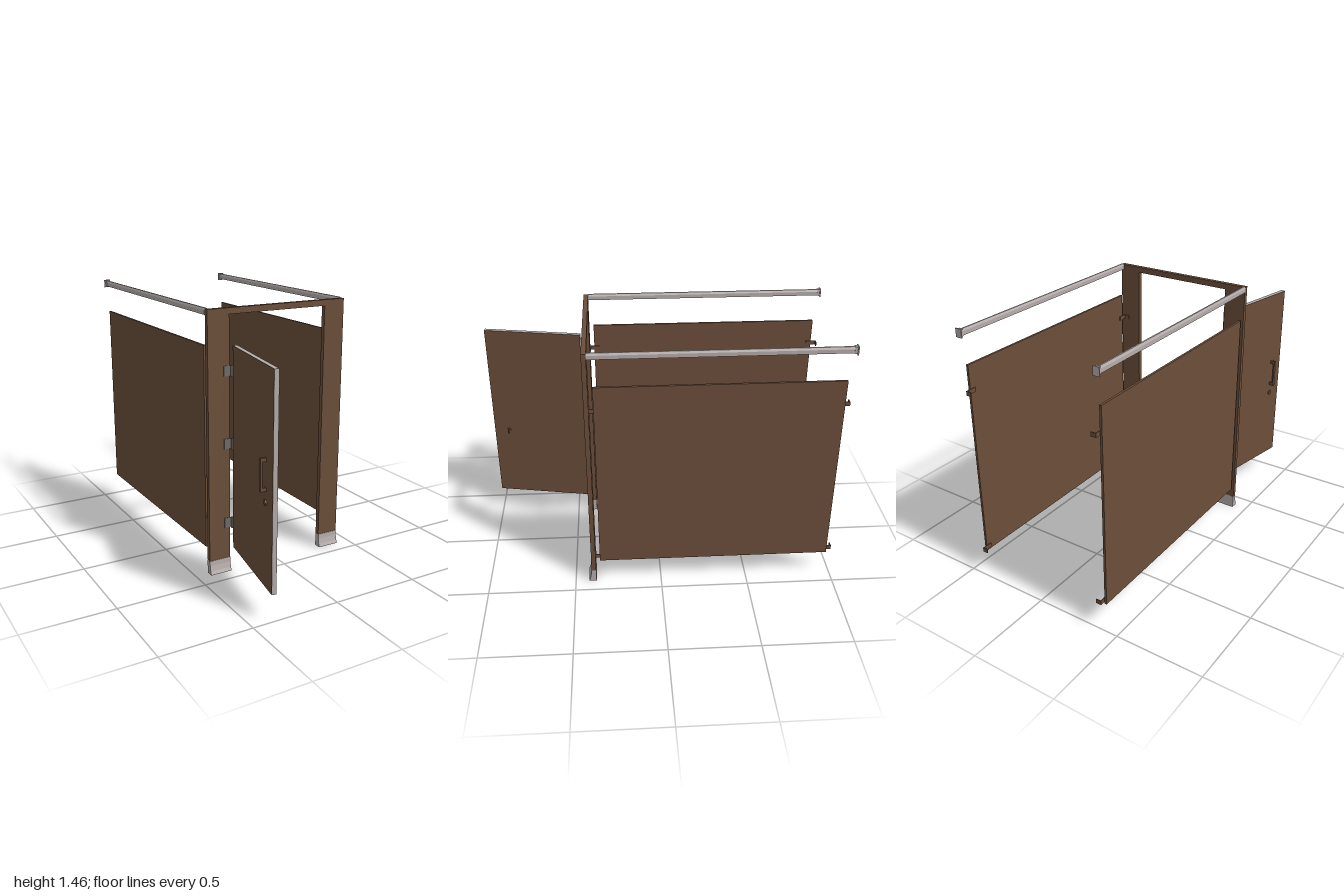
import * as THREE from 'three';

const mat = (name, color, side = THREE.FrontSide) => {
  const m = new THREE.MeshStandardMaterial({ color, side });
  m.name = name;
  return m;
};

export function createModel() {
  const brown = mat('brown laminate', 0x6b4e3a);
  const grey = mat('light grey metal', 0xb5adab);
  const steel = mat('dark hinge metal', 0x6f6a66);
  const root = new THREE.Group();
  root.name = 'partitionStall';

  const add = (parent, name, geometry, material) => {
    const mesh = new THREE.Mesh(geometry, material);
    mesh.name = name;
    parent.add(mesh);
    return mesh;
  };
  // box given by its limits on each axis
  const box = (parent, name, material, [x0, x1], [y0, y1], [z0, z1]) => {
    const mesh = add(parent, name, new THREE.BoxGeometry(Math.abs(x1 - x0), y1 - y0, z1 - z0), material);
    mesh.position.set((x0 + x1) / 2, (y0 + y1) / 2, (z0 + z1) / 2);
    return mesh;
  };
  const extrude = (points, depth) => new THREE.ExtrudeGeometry(
    new THREE.Shape(points.map(p => new THREE.Vector2(...p))), { depth, bevelEnabled: false });

  // front frame header between the pilasters
  box(root, 'header', brown, [-0.296, 0.296], [1.422, 1.455], [0.38, 0.406]);

  for (const s of [-1, 1]) {
    const side = new THREE.Group();
    side.name = s > 0 ? 'leftSide' : 'rightSide';
    root.add(side);
    const bx = (name, m, [a, b], y, z) => box(side, name, m, [s * a, s * b], y, z);

    bx('pilaster', brown, [0.296, 0.422], [0.075, 1.455], [0.38, 0.406]);

    // flared foot cover; profile is drawn in (z, y) and swept across x
    const shoe = add(side, 'shoe', extrude(
      [[0.379, 0], [0.422, 0], [0.415, 0.02], [0.409, 0.05], [0.408, 0.077], [0.379, 0.077]], 0.126), grey);
    shoe.rotation.y = -Math.PI / 2;
    shoe.position.x = s > 0 ? 0.422 : -0.296;

    bx('panel', brown, [0.405, 0.418], [0.145, 1.265], [-0.97, 0.355]);

    // head rail with a narrow ridge along its top
    const rail = add(side, 'headRail', extrude(
      [[-0.01, 0], [0.01, 0], [0.01, 0.022], [0.004, 0.034], [-0.004, 0.034], [-0.01, 0.022]], 1.375), grey);
    rail.position.set(s * 0.415, 1.425, -0.995);

    // wall bracket around the end of the rail
    bx('railFlange', grey, [0.397, 0.434], [1.417, 1.464], [-1, -0.994]);
    bx('railSocket', grey, [0.403, 0.427], [1.423, 1.461], [-0.994, -0.98]);

    // angle brackets holding the panel at both ends
    for (const y of [0.168, 1.122]) {
      const h = [y - 0.012, y + 0.012];
      for (const [z0, z1, f0, f1] of [[-1, -0.94, -1, -0.995], [0.325, 0.38, 0.375, 0.38]]) {
        bx('panelBracketLeaf', brown, [0.4, 0.405], h, [z0, z1]);
        bx('panelBracketFlange', brown, [0.374, 0.4], h, [f0, f1]);
      }
    }
  }

  // door standing open, pivoted at its hinge edge
  const door = new THREE.Group();
  door.name = 'door';
  door.position.set(-0.265, 0, 0.4345);
  door.rotation.y = -0.183;
  root.add(door);
  box(door, 'doorCore', grey, [-0.0245, -0.0005], [0.145, 1.265], [0, 0.575]);
  box(door, 'doorInnerFace', brown, [-0.001, 0], [0.145, 1.265], [0, 0.575]);
  box(door, 'doorOuterFace', brown, [-0.025, -0.024], [0.145, 1.265], [0, 0.575]);

  // pull handle
  box(door, 'handleBar', brown, [-0.056, -0.046], [0.65, 0.82], [0.477, 0.493]);
  for (const y of [0.66, 0.81])
    box(door, 'handlePost', brown, [-0.05, -0.025], [y - 0.009, y + 0.009], [0.478, 0.492]);

  // latch discs and thumb turn
  for (const [x, depth, r] of [[0.003, 0.006, 0.016], [-0.029, 0.008, 0.014]]) {
    const disc = add(door, 'latchDisc', new THREE.CylinderGeometry(r, r, depth, 20), brown);
    disc.rotation.z = Math.PI / 2;
    disc.position.set(x, 0.593, 0.485);
  }
  box(door, 'thumbTurn', brown, [0.006, 0.016], [0.578, 0.608], [0.482, 0.488]);

  // hinges between pilaster and door
  for (const y of [0.285, 0.735, 1.13]) {
    const h = [y - 0.028, y + 0.028];
    box(root, 'hingeFrameLeaf', steel, [-0.33, -0.287], h, [0.406, 0.41]);
    box(root, 'hingeDoorLeaf', steel, [-0.288, -0.268], h, [0.427, 0.434]);
    const pin = add(root, 'hingeKnuckle', new THREE.CylinderGeometry(0.009, 0.009, 0.06, 14), steel);
    pin.position.set(-0.286, y, 0.418);
  }
  return root;
}
